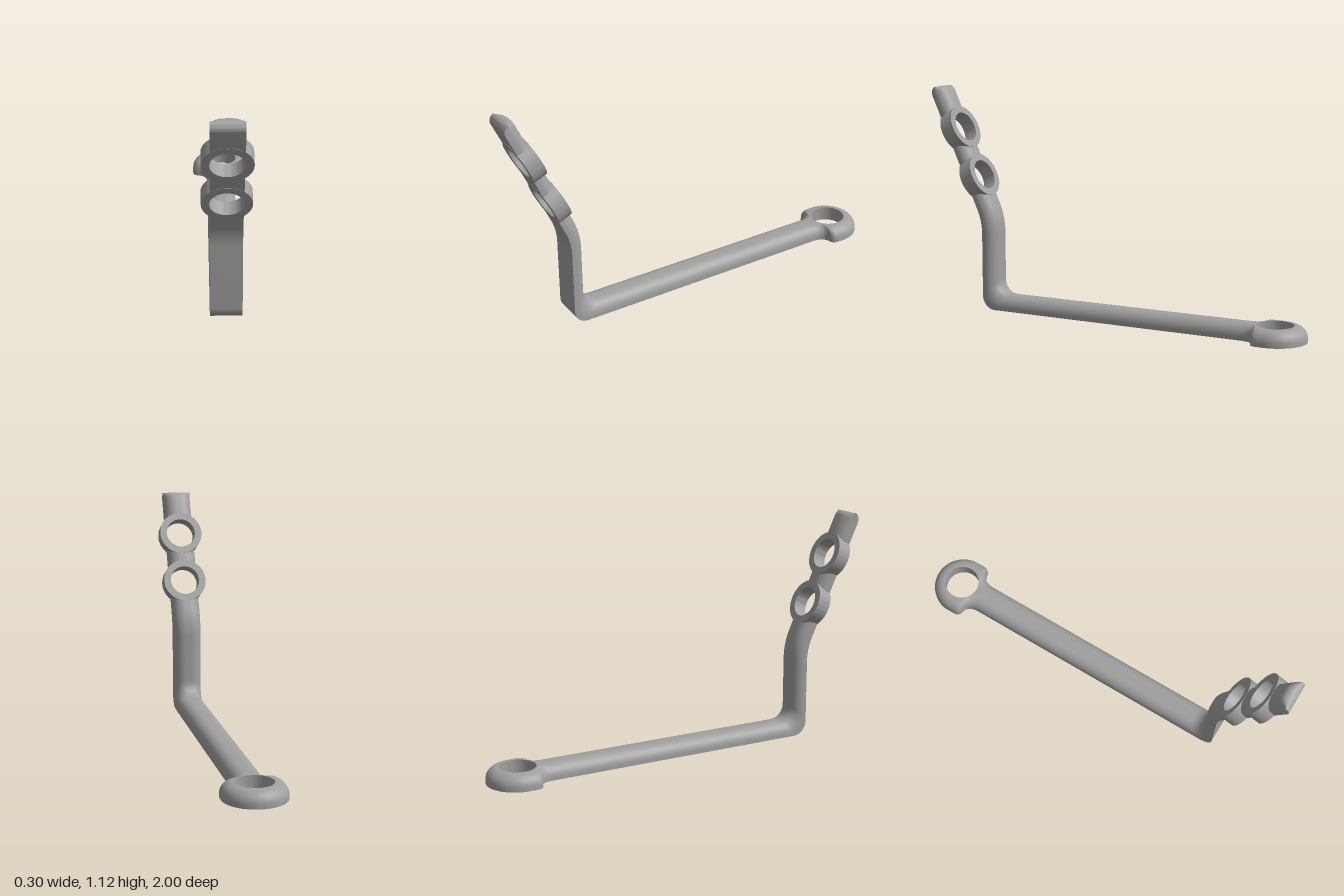
import * as THREE from 'three';
import { toCreasedNormals } from 'three/addons/utils/BufferGeometryUtils.js';

const HALF = 0.074;      // half width of the bar
const FOOT_H = 0.074;    // height of the base bar
const THICK = 0.07;      // thickness of the upright
const FILLET = 0.058;    // rounding of the inner long edges
const LEAN = THREE.MathUtils.degToRad(25);

// Skin rows of points; columns wrap round
function skin(rows) {
  const n = rows[0].length, index = [];
  for (let r = 0; r < rows.length - 1; r++) {
    for (let c = 0; c < n; c++) {
      const a = r * n + c, b = r * n + (c + 1) % n;
      index.push(a, b, a + n, b, b + n, a + n);
    }
  }
  const geo = new THREE.BufferGeometry();
  geo.setAttribute('position', new THREE.Float32BufferAttribute(rows.flat(2), 3));
  geo.setIndex(index);
  return toCreasedNormals(geo, 0.7);
}

// Rounded edge as [inset, height 0..1] steps
const edge = [[0, 0]];
for (let i = 0; i <= 8; i++) {
  const a = (i / 8) * Math.PI / 2;
  edge.push([FILLET * (1 - Math.cos(a)), 1 - FILLET / FOOT_H * (1 - Math.sin(a))]);
}

// D-shaped section: flat outer face, rounded inner face
const section = [
  ...edge.map(([d, t]) => [HALF - d, t]),
  ...[...edge].reverse().map(([d, t]) => [d - HALF, t]),
];

// Each station holds an outer and an inner point as [z, y]
function barGeometry(stations) {
  return skin(stations.map(([o, i]) => section.map(([x, t]) =>
    [x, o[1] + (i[1] - o[1]) * t, o[0] + (i[0] - o[0]) * t])));
}

const arc = (z, y, r, a) => [z + r * Math.cos(a), y + r * Math.sin(a)];

// Point on the leaning part: s along it, d towards the front
const leanPoint = (s, d) => [
  0.766 + s * Math.sin(LEAN) + d * Math.cos(LEAN),
  0.665 + s * Math.cos(LEAN) - d * Math.sin(LEAN),
];
const leanStation = (s, h = THICK / 2) => [leanPoint(s, h), leanPoint(s, -h)];

// Base, lower corner, upright and forward bend
function mainBar() {
  const st = [[[-0.71, 0], [-0.71, FOOT_H]]];
  for (let i = 0; i <= 12; i++) {
    const a = -Math.PI / 2 + (i / 12) * Math.PI / 2;
    st.push([arc(0.635, 0.07, 0.07, a), arc(0.56, FOOT_H + 0.075, 0.075, a)]);
  }
  for (let i = 0; i <= 12; i++) {
    const a = Math.PI - LEAN * i / 12;
    st.push([arc(0.995, 0.386, 0.29, a), arc(0.995, 0.386, 0.36, a)]);
  }
  st.push(leanStation(-0.08));
  return barGeometry(st);
}

// Short top piece with a rounded tip
function tipBar() {
  const st = [leanStation(0.263 + 0.08)], r = THICK / 2;
  for (let i = 0; i <= 10; i++) {
    const a = (i / 10) * Math.PI / 2;
    st.push(leanStation(0.467 + r * Math.sin(a), r * Math.cos(a)));
  }
  return barGeometry(st);
}

// Plain ring set into the leaning part
function ringGeometry() {
  const shape = new THREE.Shape().absarc(0, 0, 0.112, 0, Math.PI * 2, false);
  shape.holes.push(new THREE.Path().absarc(0, 0, 0.076, 0, Math.PI * 2, true));
  const geo = new THREE.ExtrudeGeometry(shape, {
    depth: THICK + 0.002, bevelEnabled: false, curveSegments: 48,
  });
  geo.translate(0, 0, -THICK / 2 - 0.001);
  return toCreasedNormals(geo, 0.7);
}

// Rounded eye with a neck that flares into the base bar
function eyeGeometry() {
  const R = 0.15, HOLE = 0.087;
  const half = new THREE.Path();
  half.moveTo(HALF, 0.14);
  half.quadraticCurveTo(0.076, 0.085, 0.115, 0.074);
  half.quadraticCurveTo(R, 0.072, R, 0.035);
  half.lineTo(R, 0);
  half.absarc(0, 0, R, 0, -Math.PI / 2, true);
  const right = half.getSpacedPoints(48);
  const outline = [...right, ...right.slice(0, -1).reverse().map(p => new THREE.Vector2(-p.x, p.y))];
  const n = outline.length;
  const hole = y => outline.map((_, i) => {
    const a = 2 * Math.PI * (i + 0.5) / n;
    return [HOLE * Math.sin(a), y, HOLE * Math.cos(a)];
  });
  const ringRow = (d, y) => outline.map(p => {
    const k = p.y > 0 ? new THREE.Vector2(Math.sign(p.x), 0) : p.clone().normalize();
    return [p.x - k.x * d, y, p.y - k.y * d];
  });
  const rows = [hole(0), ...edge.map(([d, t]) => ringRow(d, t * FOOT_H)), hole(FOOT_H), hole(0)];
  return skin(rows);
}

export function createModel() {
  const group = new THREE.Group();
  group.name = 'bracket';
  const grey = new THREE.MeshStandardMaterial({ color: 0xa0a0a0 });
  grey.name = 'grey';

  const add = (name, geo) => {
    const mesh = new THREE.Mesh(geo, grey);
    mesh.name = name;
    group.add(mesh);
    return mesh;
  };

  add('mainBar', mainBar());
  add('linkBar', barGeometry([leanStation(0.08), leanStation(0.263 - 0.08)]));
  add('tipBar', tipBar());
  add('mountingEye', eyeGeometry()).position.z = -0.85;

  const ring = ringGeometry();
  [['lowerRing', 0], ['upperRing', 0.263]].forEach(([name, s]) => {
    const mesh = add(name, ring);
    const [z, y] = leanPoint(s, 0);
    mesh.position.set(0, y, z);
    mesh.rotation.x = LEAN;
  });
  return group;
}
